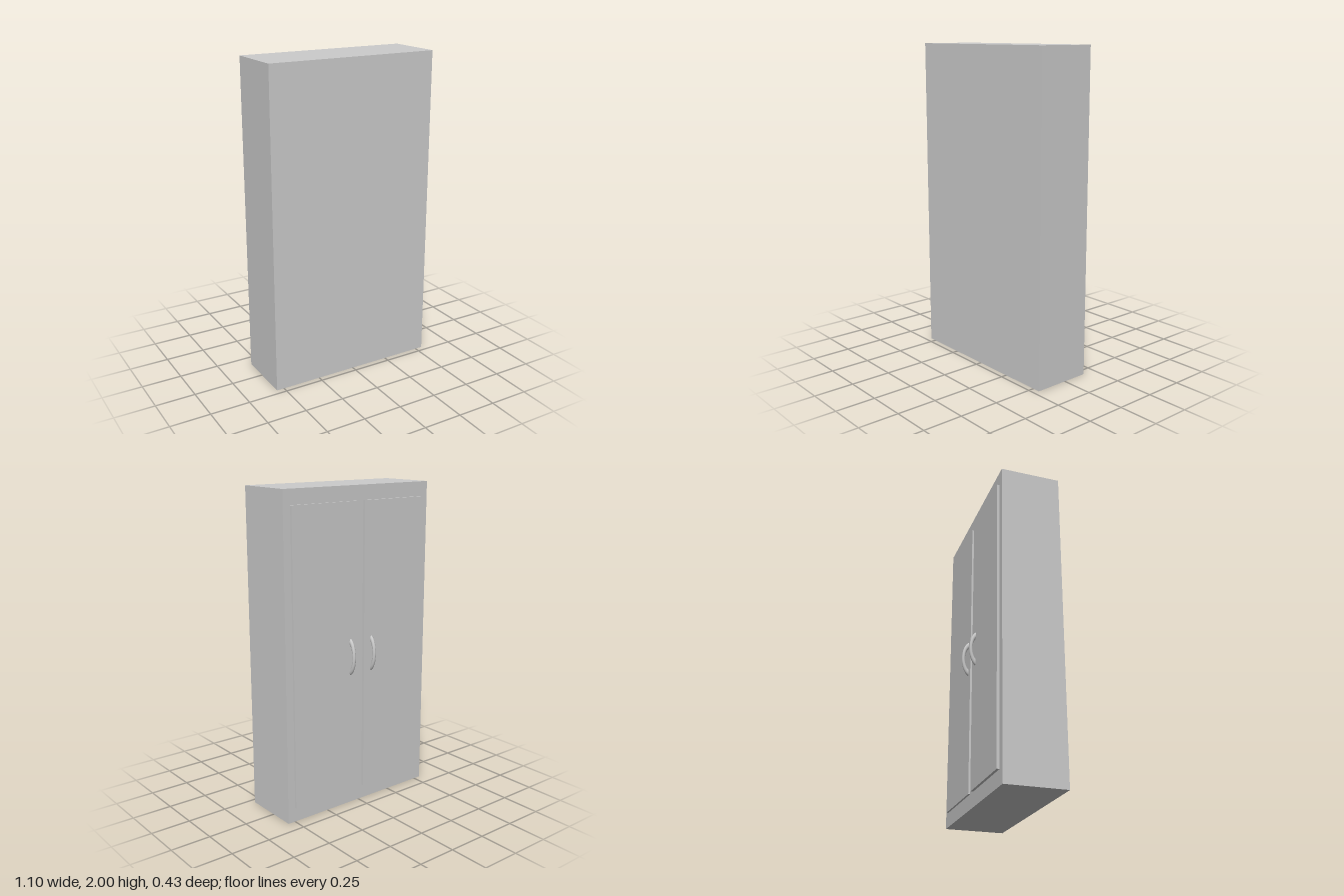
import * as THREE from 'three';

export function createModel() {
  const group = new THREE.Group();
  const material = new THREE.MeshStandardMaterial({ color: 0xcccccc });

  // Box given by its minimum and maximum corners
  const box = (name, [x0, y0, z0], [x1, y1, z1]) => {
    const mesh = new THREE.Mesh(new THREE.BoxGeometry(x1 - x0, y1 - y0, z1 - z0), material);
    mesh.name = name;
    mesh.position.set((x0 + x1) / 2, (y0 + y1) / 2, (z0 + z1) / 2);
    group.add(mesh);
  };

  // Cabinet body
  box('cabinetBody', [-0.548, 0, -0.162], [0.548, 2, 0.214]);

  // Two doors, one slightly thicker than the other
  box('rightDoor', [-0.5, 0.092, -0.178], [-0.028, 1.91, -0.15]);
  box('leftDoor', [0.027, 0.092, -0.174], [0.498, 1.91, -0.15]);

  // Bowed handles: flattened half rings standing upright, bulging to -z
  const handle = new THREE.TorusGeometry(0.1, 0.02, 16, 32, Math.PI);
  handle.rotateX(-Math.PI / 2).rotateZ(Math.PI / 2).scale(0.55, 1, 0.5);
  for (const [name, x] of [['rightHandle', -0.088], ['leftHandle', 0.073]]) {
    const mesh = new THREE.Mesh(handle, material);
    mesh.name = name;
    mesh.position.set(x, 0.97, -0.156);
    group.add(mesh);
  }

  return group;
}
